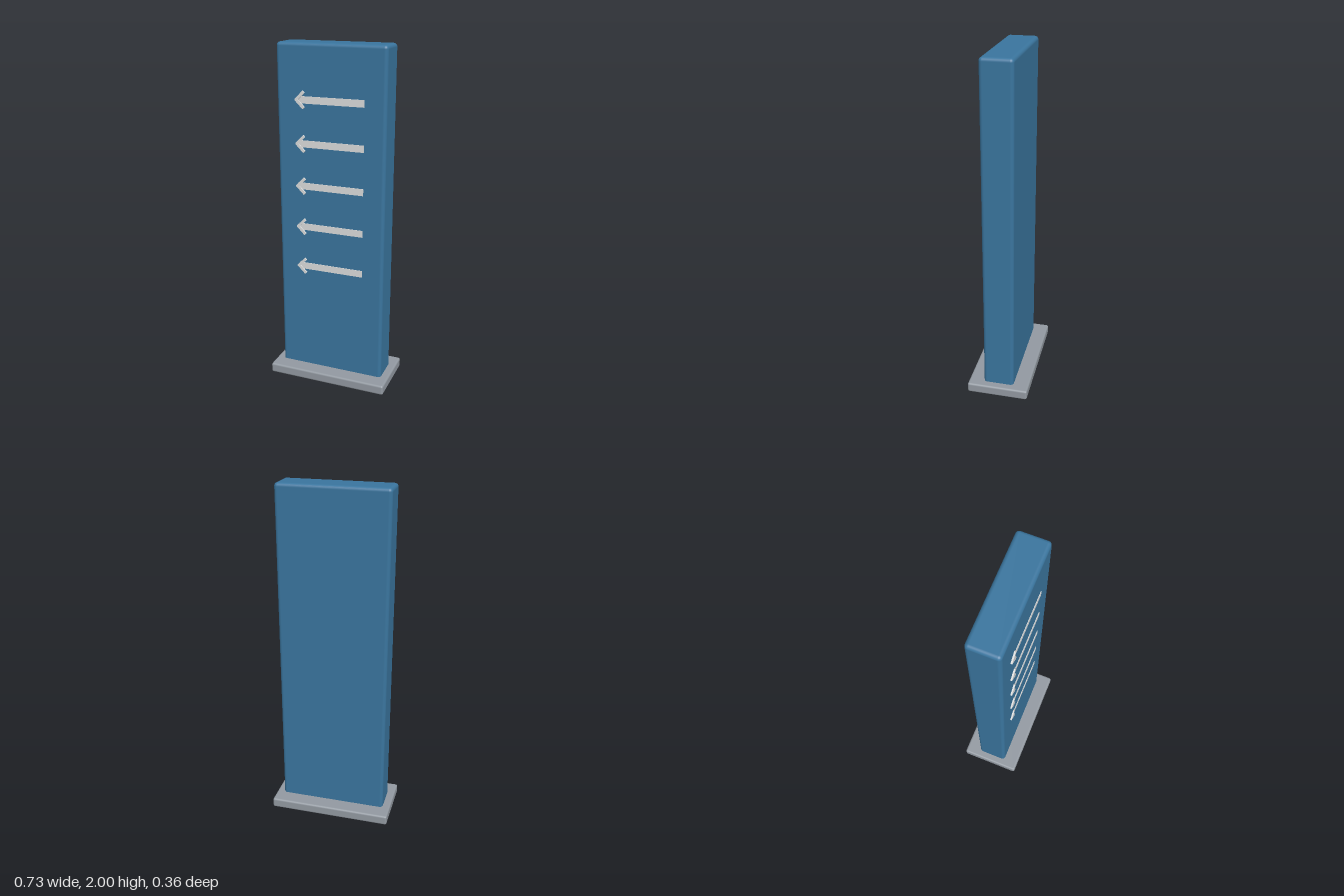
import * as THREE from 'three';
import { RoundedBoxGeometry } from 'three/addons/geometries/RoundedBoxGeometry.js';

const panelBlue = new THREE.MeshStandardMaterial({ name: 'panelBlue', color: 0x3a759e });
const baseGrey = new THREE.MeshStandardMaterial({ name: 'baseGrey', color: 0x9299a1 });
const arrowWhite = new THREE.MeshStandardMaterial({ name: 'arrowWhite', color: 0xdcdddd });

function part(name, geometry, material, x, y, z) {
  const mesh = new THREE.Mesh(geometry, material);
  mesh.name = name;
  mesh.position.set(x, y, z);
  return mesh;
}

// Thin shaft with a raised two-bar head pointing to -x
function makeArrow() {
  const arrow = new THREE.Group();
  arrow.name = 'arrow';
  arrow.add(part('arrowShaft', new THREE.BoxGeometry(0.39, 0.04, 0.006), arrowWhite, 0, 0, 0.09));
  for (const side of [1, -1]) {
    const bar = part('arrowHeadBar', new THREE.BoxGeometry(0.068, 0.016, 0.01), arrowWhite, -0.179, side * 0.021, 0.094);
    bar.rotation.z = side * Math.PI / 4;
    arrow.add(bar);
  }
  return arrow;
}

export function createModel() {
  const model = new THREE.Group();
  model.name = 'directionSign';

  // Foot plate and upright slab with softened edges
  model.add(part('base', new RoundedBoxGeometry(0.726, 0.06, 0.362, 3, 0.012), baseGrey, 0, 0.03, 0));
  model.add(part('panel', new RoundedBoxGeometry(0.636, 1.995, 0.18, 4, 0.02), panelBlue, 0, 1.0025, 0));

  // Column of five evenly spaced arrows on the front
  for (let i = 0; i < 5; i++) {
    const arrow = makeArrow();
    arrow.position.y = 1.695 - i * 0.245;
    model.add(arrow);
  }
  return model;
}
